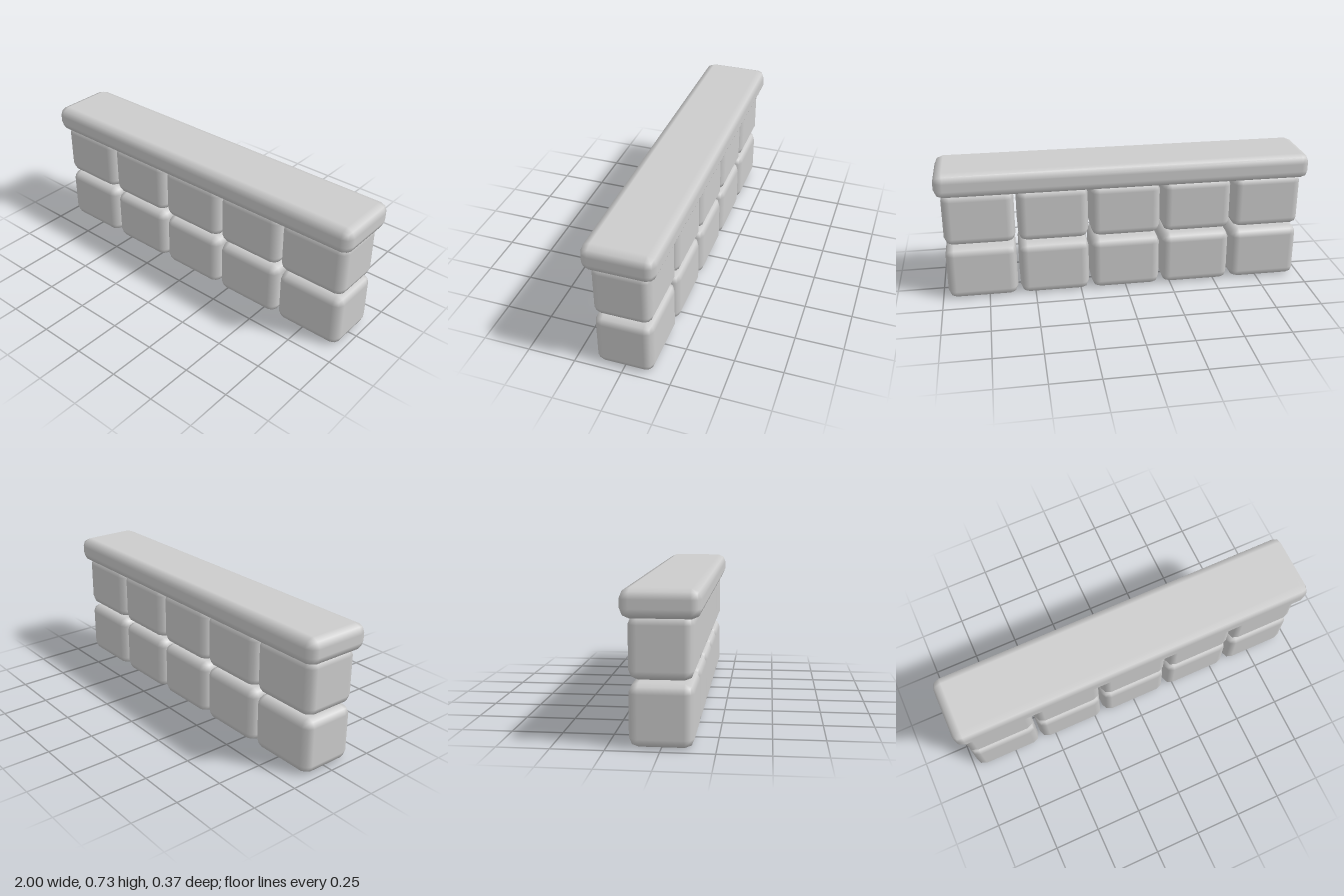
import * as THREE from 'three';
import { RoundedBoxGeometry } from 'three/addons/geometries/RoundedBoxGeometry.js';

const stone = new THREE.MeshStandardMaterial({ color: 0xcccccc });
stone.name = 'stone grey';

// One softly bevelled stone, two facets per rounded edge
function addStone(parent, name, geometry, x, y) {
  const mesh = new THREE.Mesh(geometry, stone);
  mesh.name = name;
  mesh.position.set(x, y, 0);
  parent.add(mesh);
}

export function createModel() {
  const wall = new THREE.Group();
  wall.name = 'stoneWall';

  // Two courses of five blocks, with open joints
  const columns = 5, pitchX = 0.391, pitchY = 0.312, blockHeight = 0.297;
  const block = new RoundedBoxGeometry(0.376, blockHeight, 0.3, 1, 0.045);
  ['lowerCourse', 'upperCourse'].forEach((name, row) => {
    const course = new THREE.Group();
    course.name = name;
    for (let i = 0; i < columns; i++) {
      const x = (i - (columns - 1) / 2) * pitchX;
      addStone(course, 'block', block, x, blockHeight / 2 + row * pitchY);
    }
    wall.add(course);
  });

  // Overhanging capstone, resting slightly into the upper blocks
  const cap = new RoundedBoxGeometry(2, 0.138, 0.368, 1, 0.048);
  addStone(wall, 'capstone', cap, 0, 0.66);

  return wall;
}
